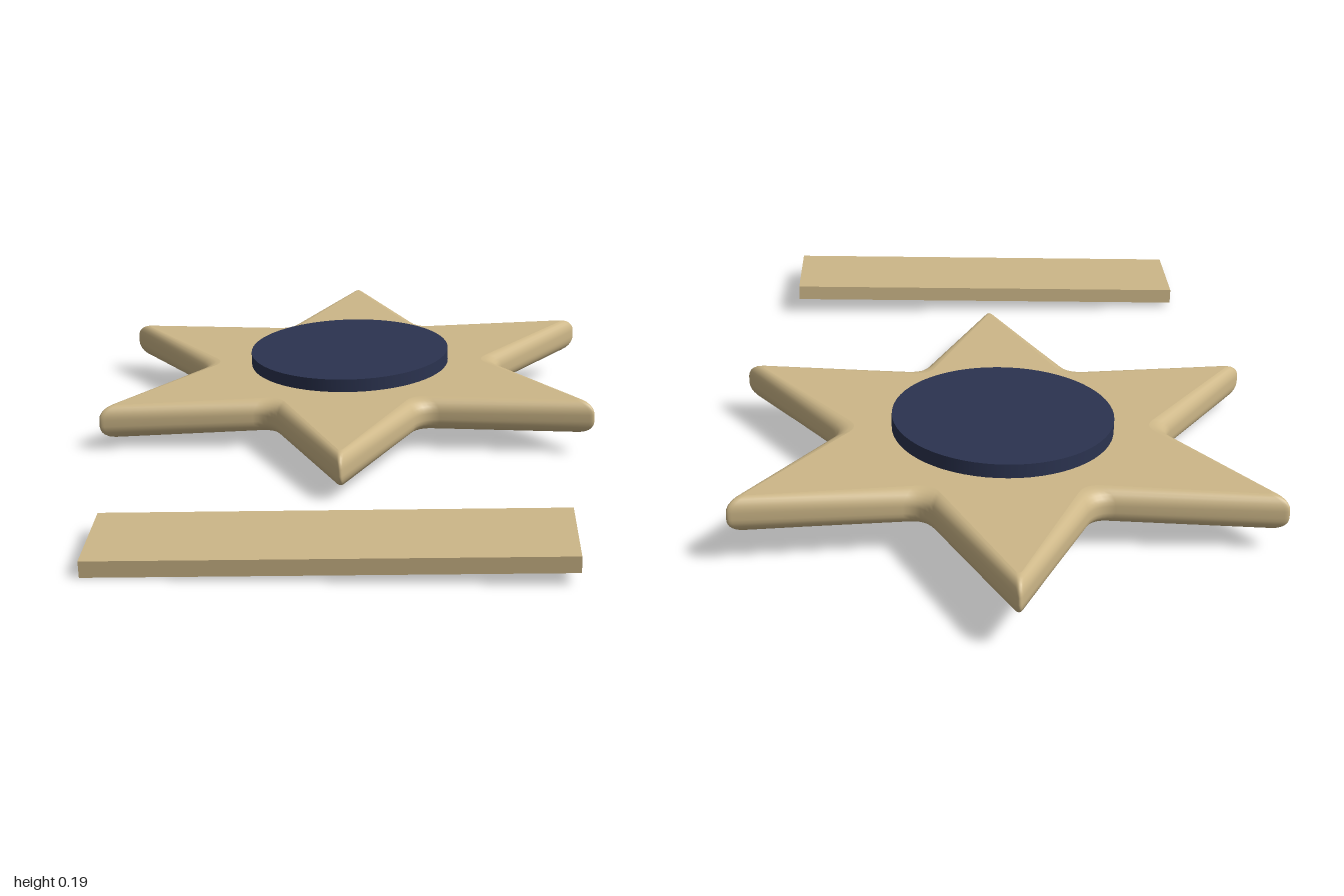
import * as THREE from 'three';

// Orientation of a part lying on a gentle slope: rises by a per unit +x and by c per unit -z
function tilt(a, c, turn = 0) {
  const q = new THREE.Quaternion().setFromUnitVectors(
    new THREE.Vector3(0, 1, 0), new THREE.Vector3(-a, 1, c).normalize());
  const spin = new THREE.Quaternion().setFromAxisAngle(new THREE.Vector3(0, 1, 0), turn);
  return q.multiply(spin);
}

// Star outline in x/z with slightly blunt tips and filleted valleys
function starOutline(points, outer, inner, start) {
  const corners = [];
  for (let i = 0; i < points * 2; i++) {
    const r = i % 2 ? inner : outer;
    const t = start + (i * Math.PI) / points;
    corners.push(new THREE.Vector2(Math.cos(t) * r, Math.sin(t) * r));
  }
  const outline = [];
  corners.forEach((p, i) => {
    const n = corners.length;
    const reach = i % 2 ? 0.045 : 0.02;
    const toward = (q) => p.clone().add(q.clone().sub(p).setLength(reach));
    const curve = new THREE.QuadraticBezierCurve(
      toward(corners[(i + n - 1) % n]), p, toward(corners[(i + 1) % n]));
    outline.push(...curve.getPoints(6));
  });
  return outline;
}

// Thick star with rounded rims and flat top and bottom
function starGeometry(outline, height, inset, round) {
  const steps = 6;
  const rings = [];
  for (let k = 0; k <= steps; k++) {
    const t = (k / steps) * Math.PI / 2;
    rings.push([inset * (1 - Math.sin(t)), height / 2 - round * (1 - Math.cos(t))]);
  }
  for (let k = steps; k >= 0; k--) rings.push([rings[k][0], -rings[k][1]]);

  const pos = [], index = [], n = outline.length;
  const addRing = ([d, y]) => outline.forEach((p) => {
    const s = 1 - d / p.length();
    pos.push(p.x * s, y, p.y * s);
  });
  // rim
  rings.forEach(addRing);
  for (let k = 0; k < rings.length - 1; k++) {
    for (let i = 0; i < n; i++) {
      const j = (i + 1) % n;
      const a = k * n + i, b = k * n + j, c = a + n, d = b + n;
      index.push(a, b, c, b, d, c);
    }
  }
  // caps
  for (const ring of [rings[0], rings[rings.length - 1]]) {
    const base = pos.length / 3;
    addRing(ring);
    pos.push(0, ring[1], 0);
    for (let i = 0; i < n; i++) {
      const a = base + i, b = base + ((i + 1) % n);
      if (ring[1] > 0) index.push(base + n, b, a);
      else index.push(base + n, a, b);
    }
  }
  const g = new THREE.BufferGeometry();
  g.setAttribute('position', new THREE.Float32BufferAttribute(pos, 3));
  g.setIndex(index);
  g.computeVertexNormals();
  return g;
}

export function createModel() {
  const group = new THREE.Group();
  const sand = new THREE.MeshStandardMaterial({ color: 0xcdb788 });
  sand.name = 'sand';
  const navy = new THREE.MeshStandardMaterial({ color: 0x2b3350 });
  navy.name = 'navy';

  const add = (name, geometry, material, position, rotation) => {
    const mesh = new THREE.Mesh(geometry, material);
    mesh.name = name;
    mesh.position.set(...position);
    mesh.quaternion.copy(rotation);
    group.add(mesh);
  };

  // six-pointed star
  const outline = starOutline(6, 0.729, 0.383, -0.232);
  add('star', starGeometry(outline, 0.085, 0.045, 0.034), sand,
    [0.0725, 0.0975, -0.31], tilt(0.033, 0.03));

  // round disc on the star
  add('disc', new THREE.CylinderGeometry(0.263, 0.263, 0.04, 64), navy,
    [0.07, 0.154, -0.31], tilt(0.037, 0.03));

  // flat plank in front
  add('plank', new THREE.BoxGeometry(1.057, 0.038, 0.253), sand,
    [-0.24, 0.041, 0.7225], tilt(0.043, 0.045, -0.298));

  return group;
}
